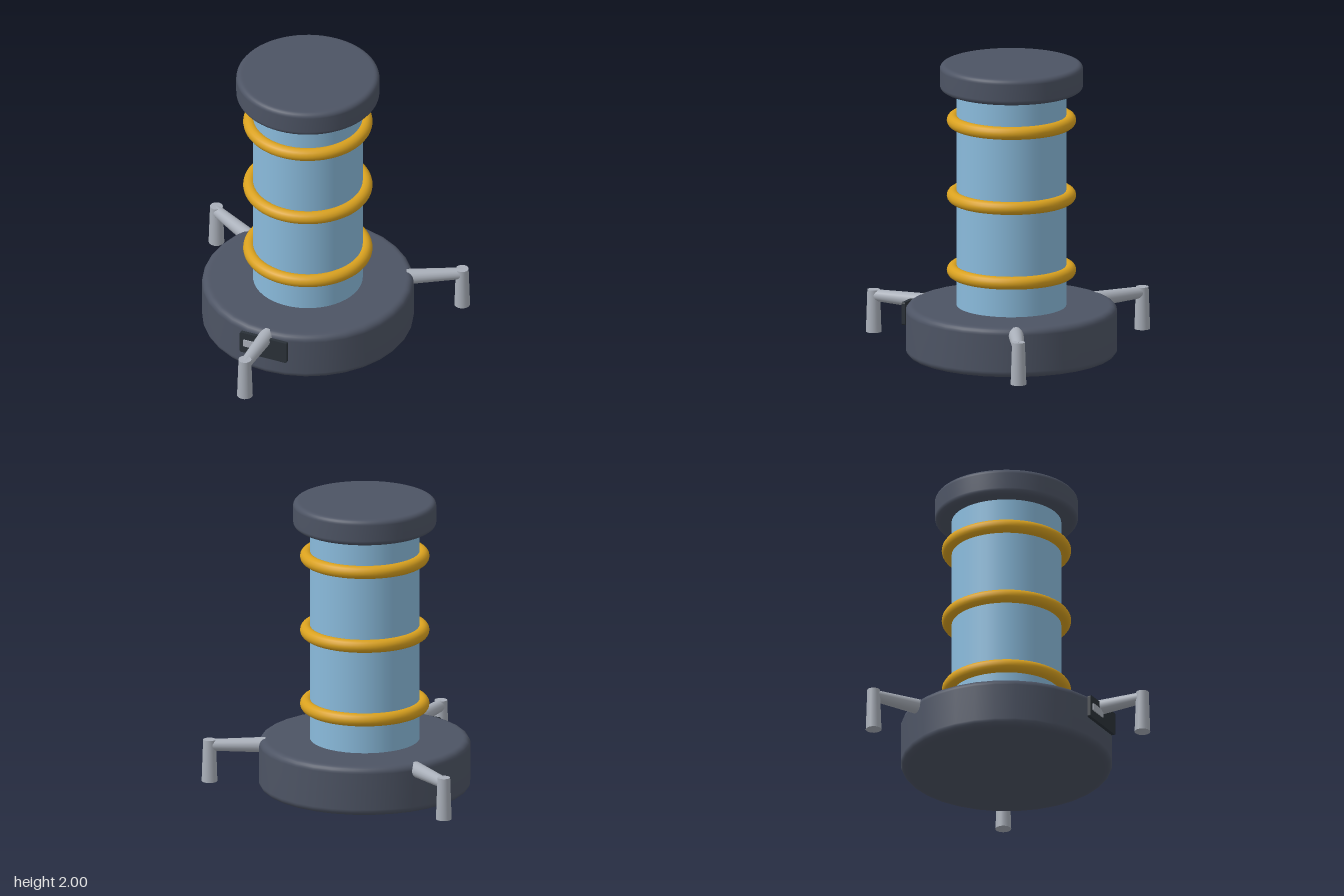
import * as THREE from 'three';

const AXIS_Z = -0.19; // the body sits behind the origin because of the front leg

const flat = (name, color) => {
  const m = new THREE.MeshStandardMaterial({ color });
  m.name = name;
  return m;
};

// Disc with rounded rims, as a lathe profile running from bottom to top
function roundedDisc(radius, y0, y1, bevel, segments) {
  const pts = [new THREE.Vector2(0, y0), new THREE.Vector2(radius - bevel - 0.01, y0)];
  const arc = (cy, from) => {
    for (let i = 0; i <= 6; i++) {
      const a = from + (i / 6) * Math.PI / 2;
      pts.push(new THREE.Vector2(radius - bevel + Math.cos(a) * bevel, cy + Math.sin(a) * bevel));
    }
  };
  arc(y0 + bevel, -Math.PI / 2);
  arc(y1 - bevel, 0);
  pts.push(new THREE.Vector2(radius - bevel - 0.01, y1), new THREE.Vector2(0, y1));
  return new THREE.LatheGeometry(pts, segments);
}

// Thin rectangular plate with rounded corners, its back at z = 0
function plate(width, height, depth, corner) {
  const w = width / 2, h = height / 2, s = new THREE.Shape();
  s.absarc(w - corner, h - corner, corner, 0, Math.PI / 2);
  s.absarc(-w + corner, h - corner, corner, Math.PI / 2, Math.PI);
  s.absarc(-w + corner, -h + corner, corner, Math.PI, Math.PI * 1.5);
  s.absarc(w - corner, -h + corner, corner, Math.PI * 1.5, Math.PI * 2);
  return new THREE.ExtrudeGeometry(s, { depth, bevelEnabled: false, curveSegments: 4 });
}

export function createModel() {
  const slate = flat('slate casing', 0x4d5464);
  const glass = flat('blue glass', 0x8abbdc);
  const gold = flat('gold', 0xd9a11f);
  const metal = flat('light metal', 0xa9afb9);
  const dark = flat('dark panel', 0x2a3138);

  const model = new THREE.Group();
  model.name = 'canister';
  const add = (parent, name, geometry, material, x = 0, y = 0, z = 0) => {
    const mesh = new THREE.Mesh(geometry, material);
    mesh.name = name;
    mesh.position.set(x, y, z);
    parent.add(mesh);
    return mesh;
  };

  // Base, glass column and cap share one vertical axis
  const body = new THREE.Group();
  body.name = 'body';
  body.position.z = AXIS_Z;
  model.add(body);
  add(body, 'base', roundedDisc(0.71, 0, 0.34, 0.045, 32), slate);
  add(body, 'glassColumn', new THREE.CylinderGeometry(0.368, 0.368, 1.54, 48), glass, 0, 1.08);
  add(body, 'cap', roundedDisc(0.48, 1.82, 2, 0.035, 64), slate);

  // Rings around the column
  for (const y of [0.58, 1.095, 1.612]) {
    const ring = add(body, 'ring', new THREE.TorusGeometry(0.39, 0.044, 16, 64), gold, 0, y);
    ring.rotation.x = Math.PI / 2;
  }

  // Three legs: an arm that narrows outwards and a foot that widens downwards
  for (let i = 0; i < 3; i++) {
    const leg = new THREE.Group();
    leg.name = 'leg';
    leg.rotation.y = (i * Math.PI * 2) / 3;
    body.add(leg);
    const arm = add(leg, 'arm', new THREE.CylinderGeometry(0.039, 0.052, 0.38, 20), metal, 0, 0.292, 0.855);
    arm.rotation.x = Math.PI / 2;
    add(leg, 'foot', new THREE.CylinderGeometry(0.043, 0.053, 0.29, 20), metal, 0, 0.185, 1.04);
  }

  // Control panel on the front with a small light slot
  const panel = new THREE.Group();
  panel.name = 'controlPanel';
  panel.position.set(0, 0.232, 0.525);
  model.add(panel);
  add(panel, 'panelPlate', plate(0.345, 0.158, 0.024, 0.012), dark);
  add(panel, 'panelSlot', plate(0.14, 0.052, 0.007, 0.006), metal, -0.075, 0.002, 0.024);

  return model;
}
